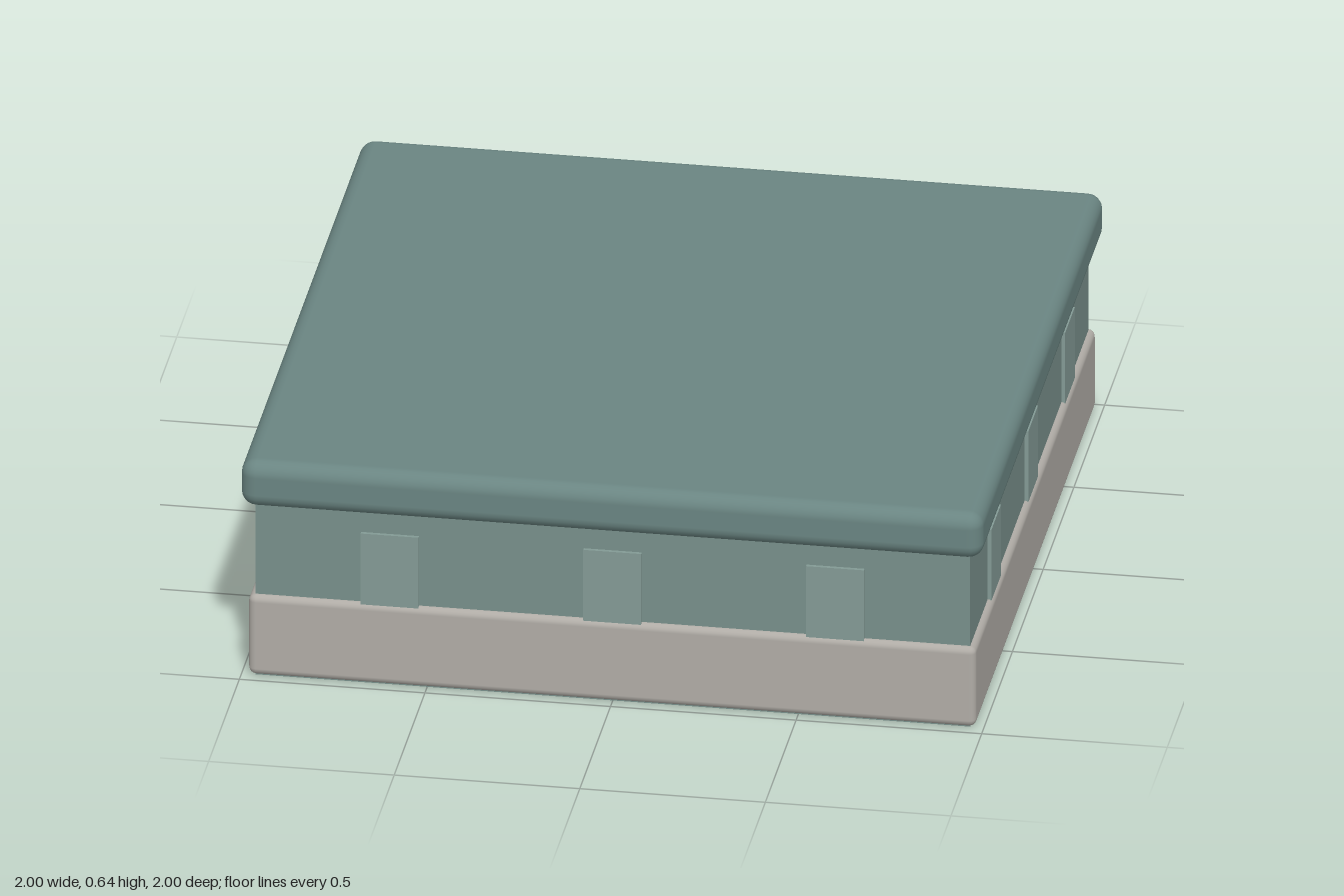
import * as THREE from 'three';
import { RoundedBoxGeometry } from 'three/addons/geometries/RoundedBoxGeometry.js';

const material = (color) => new THREE.MeshStandardMaterial({ color });

export function createModel() {
  const group = new THREE.Group();
  const add = (name, geometry, mat, x, y, z) => {
    const mesh = new THREE.Mesh(geometry, mat);
    mesh.name = name;
    mesh.position.set(x, y, z);
    group.add(mesh);
    return mesh;
  };

  const lidMat = material(0x6a8582);
  const bodyMat = material(0x78908b);
  const panelMat = material(0x839a95);
  const baseMat = material(0xb0aca6);

  // Core box, whose underside shows inside the rim of the base
  add('body', new THREE.BoxGeometry(1.926, 0.56, 1.926), bodyMat, 0, 0.28, 0);

  // Softly rounded base band
  add('base', new RoundedBoxGeometry(1.96, 0.236, 1.96, 2, 0.02), baseMat, 0, 0.122, 0);

  // Overhanging lid with rounded edges
  add('lid', new RoundedBoxGeometry(2, 0.135, 2, 3, 0.042), lidMat, 0, 0.5725, 0);

  // Three thin raised panels on each of the four sides
  const panelGeo = new THREE.BoxGeometry(0.156, 0.21, 0.03);
  ['front', 'left', 'back', 'right'].forEach((side, i) => {
    const row = new THREE.Group();
    row.name = `${side}Panels`;
    row.rotation.y = (i * Math.PI) / 2;
    for (const x of [-0.6, 0, 0.6]) {
      const panel = new THREE.Mesh(panelGeo, panelMat);
      panel.name = 'panel';
      panel.position.set(x, 0.34, 0.958);
      row.add(panel);
    }
    group.add(row);
  });

  return group;
}
